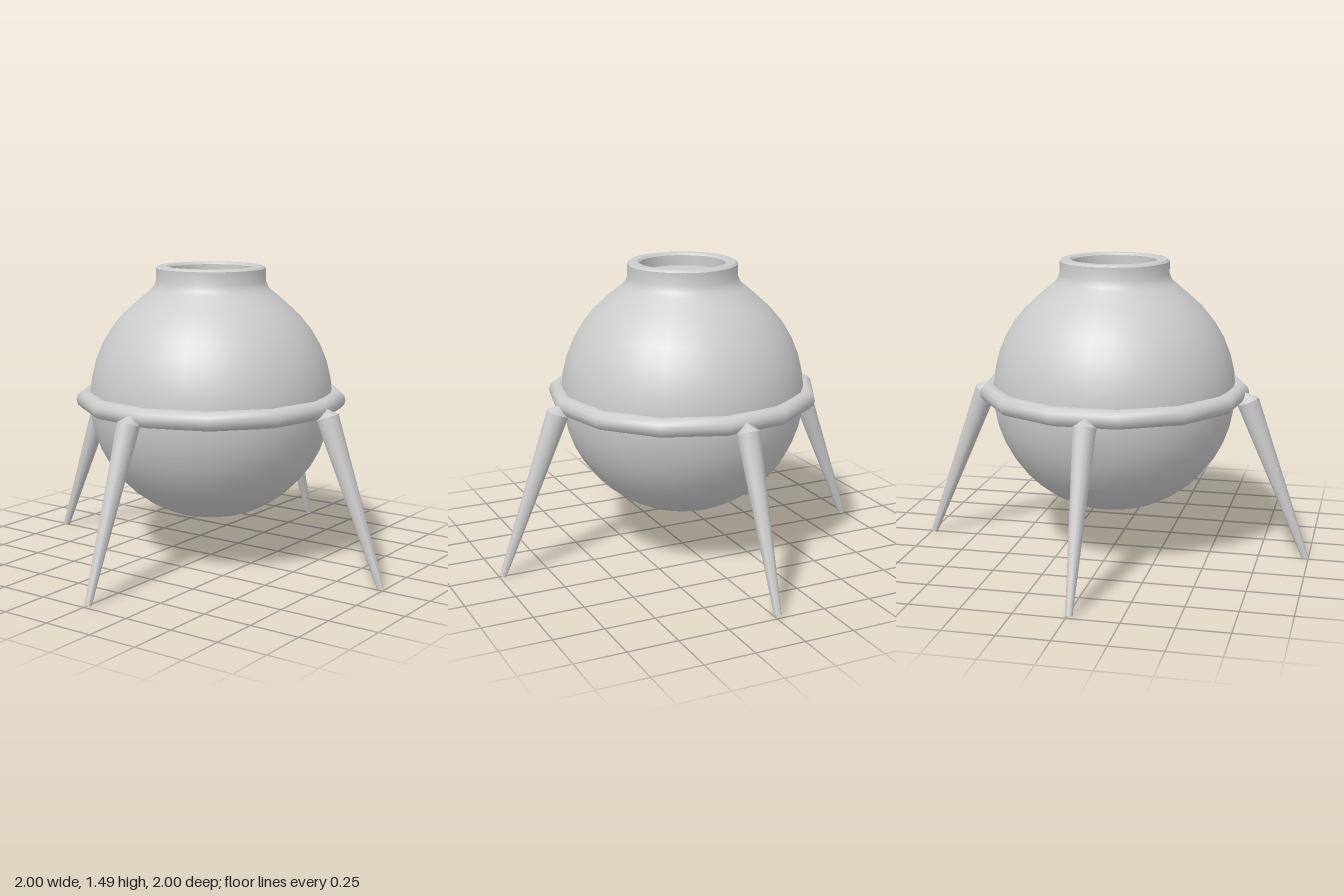
import * as THREE from 'three';
import { toCreasedNormals } from 'three/addons/utils/BufferGeometryUtils.js';

const CENTRE_Y = 0.83;
const RADIUS = 0.61;

export function createModel() {
  const model = new THREE.Group();
  model.name = 'tripodPot';
  const material = new THREE.MeshStandardMaterial({ color: 0xcccccc });

  const add = (name, geometry, parent = model) => {
    const mesh = new THREE.Mesh(geometry, material);
    mesh.name = name;
    parent.add(mesh);
    return mesh;
  };
  const lathe = (points) =>
    toCreasedNormals(new THREE.LatheGeometry(points.map(([r, y]) => new THREE.Vector2(r, y)), 32), 0.5);

  // Round body: flat base, spherical wall, flared shoulder, collar and shallow well
  const profile = [[0, 0.26], [0.215, 0.26]];
  const start = -1.16, end = 0.9, steps = 14;
  for (let i = 0; i <= steps; i++) {
    const a = start + ((end - start) * i) / steps;
    profile.push([RADIUS * Math.cos(a), CENTRE_Y + RADIUS * Math.sin(a)]);
  }
  profile.push(
    [0.305, 1.37], [0.285, 1.39], [0.273, 1.42],
    [0.273, 1.482], [0.262, 1.492], [0.222, 1.492], [0.212, 1.482],
    [0.212, 1.43], [0, 1.43],
  );
  add('body', lathe(profile));

  // Thirteen-sided band around the waist
  const ring = new THREE.TorusGeometry(0.63, 0.047, 12, 13);
  ring.rotateX(Math.PI / 2);
  add('waistRing', ring).position.y = CENTRE_Y;

  // Four splayed tapering legs, each with a pointed top
  const legTop = new THREE.Vector3(0.676, 0.8, -0.012);
  const foot = new THREE.Vector3(0.984, 0.006, -0.012);
  const up = legTop.clone().sub(foot);
  const length = up.length();
  const legGeometry = toCreasedNormals(new THREE.LatheGeometry(
    [[0, 0], [0.017, 0], [0.056, length], [0, length + 0.048]]
      .map(([r, y]) => new THREE.Vector2(r, y)), 14), 0.6);
  const tilt = new THREE.Quaternion().setFromUnitVectors(
    new THREE.Vector3(0, 1, 0), up.normalize());
  ['leftLeg', 'backLeg', 'rightLeg', 'frontLeg'].forEach((name, i) => {
    const pivot = new THREE.Group();
    pivot.name = name;
    pivot.rotation.y = (i * Math.PI) / 2;
    model.add(pivot);
    const leg = add(name + 'Shaft', legGeometry, pivot);
    leg.position.copy(foot);
    leg.quaternion.copy(tilt);
  });

  return model;
}
